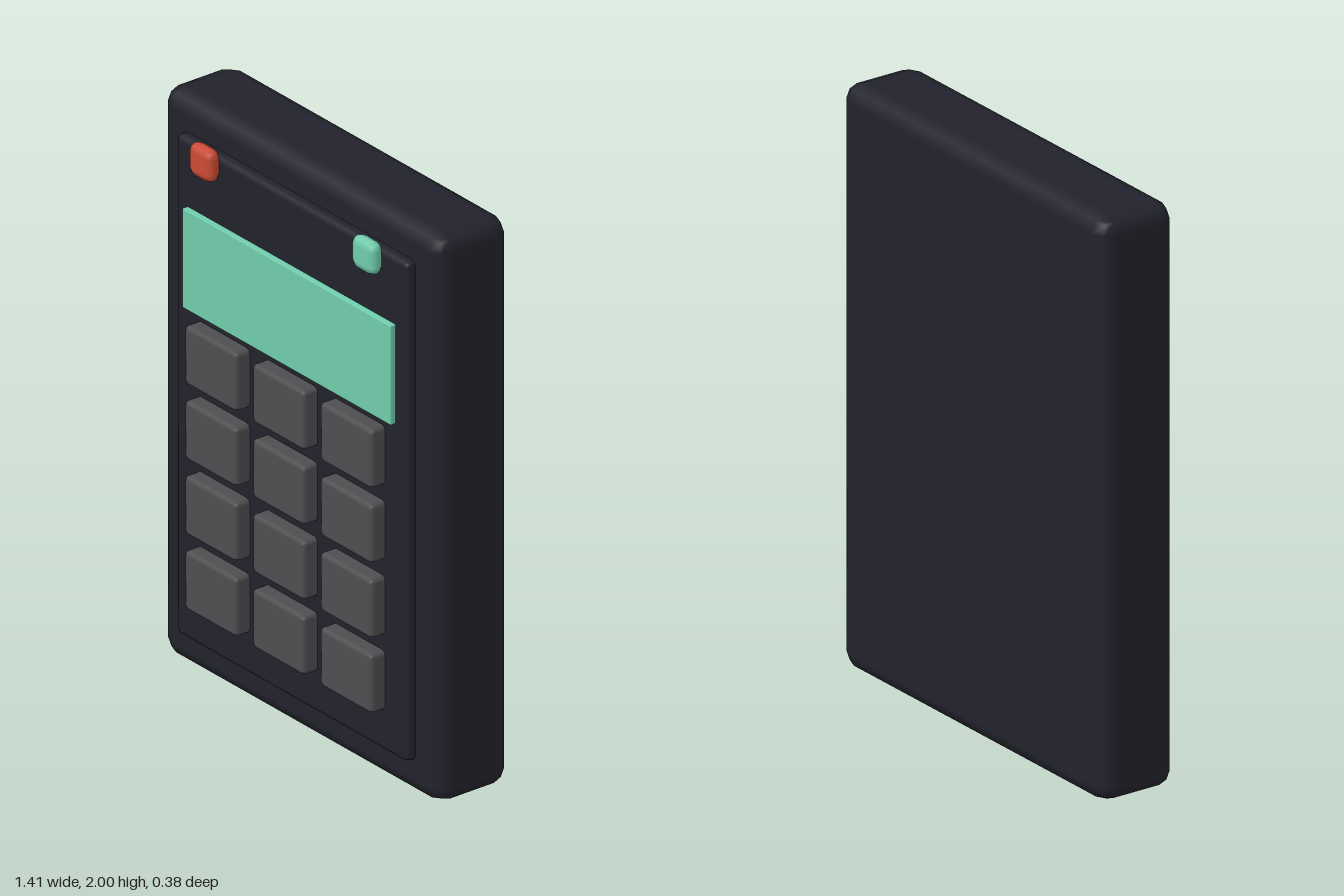
import * as THREE from 'three';
import { RoundedBoxGeometry } from 'three/addons/geometries/RoundedBoxGeometry.js';

function material(name, color) {
  const m = new THREE.MeshStandardMaterial({ color });
  m.name = name;
  return m;
}

export function createModel() {
  const model = new THREE.Group();
  model.name = 'keypadDevice';

  const dark = material('dark casing', 0x22222c);
  const grey = material('grey keys', 0x4e4e51);
  const mint = material('mint display', 0x70ccac);
  const red = material('red light', 0xcb4b35);

  // Softly bevelled block, placed by its centre and its back and front depth
  function block(name, mat, x, y, back, front, width, height, radius, parent = model) {
    const geometry = new RoundedBoxGeometry(width, height, front - back, 1, radius);
    const mesh = new THREE.Mesh(geometry, mat);
    mesh.name = name;
    mesh.position.set(x, y, (back + front) / 2);
    parent.add(mesh);
    return mesh;
  }

  // Casing and raised front panel
  block('casing', dark, 0, 1, -0.19, 0.1, 1.41, 2, 0.058);
  block('frontPanel', dark, 0, 1.005, 0.06, 0.134, 1.17, 1.76, 0.02);

  // Display
  block('display', mint, 0, 1.475, 0.11, 0.155, 1.054, 0.35, 0.004);

  // Keys: four rows of three
  const keys = new THREE.Group();
  keys.name = 'keys';
  model.add(keys);
  for (let row = 0; row < 4; row++) {
    for (let col = 0; col < 3; col++) {
      block(`key${row * 3 + col + 1}`, grey, (col - 1) * 0.342, 1.167 - row * 0.264,
        0.11, 0.19, 0.264, 0.208, 0.016, keys);
    }
  }

  // Indicator lights, flattened front to back
  for (const [name, mat, x] of [['redLight', red, -0.412], ['greenLight', mint, 0.41]]) {
    const light = block(name, mat, x, 1.858, 0.125, 0.187, 0.118, 0.118, 0.031);
    light.scale.z = 0.85;
  }

  return model;
}
